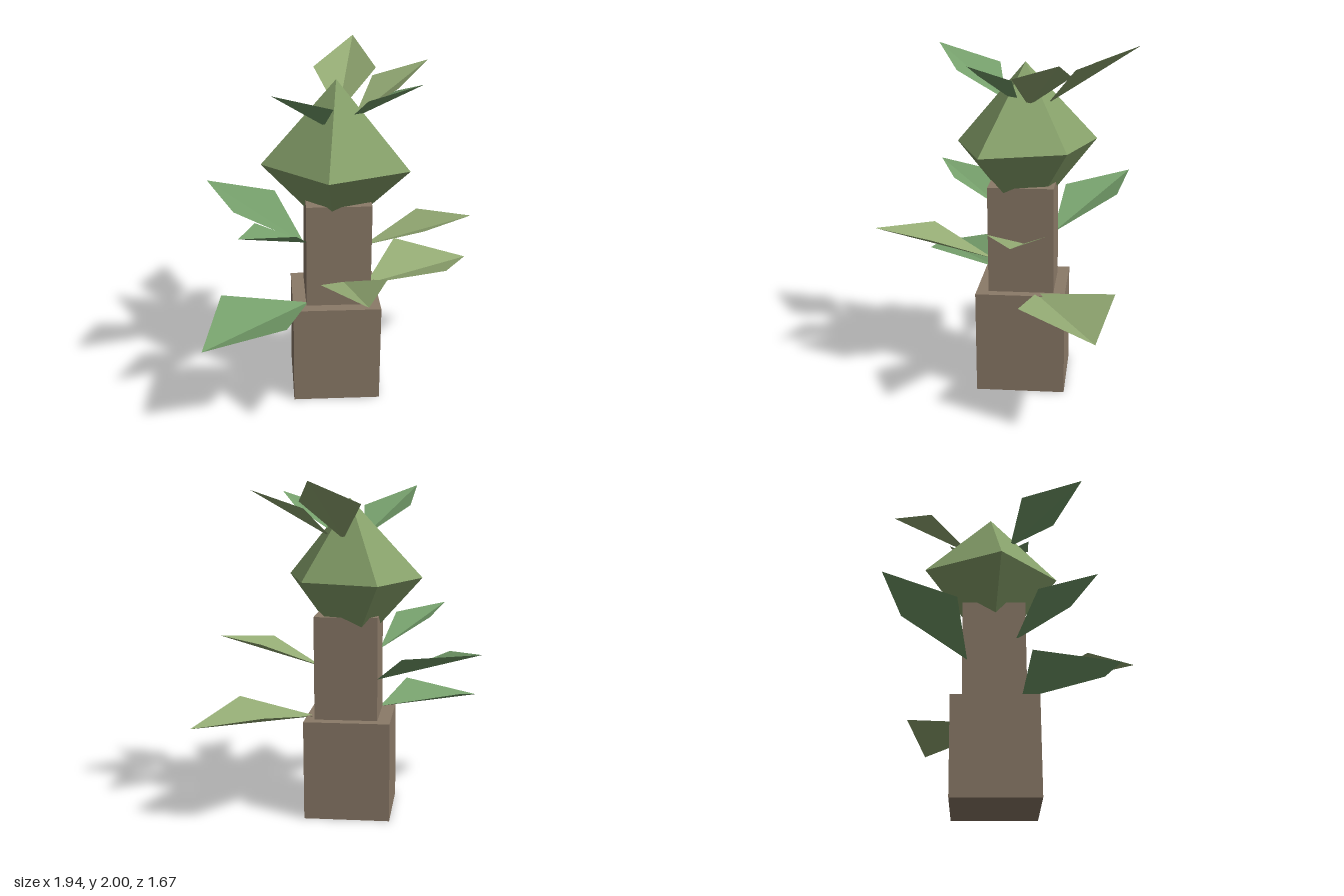
import * as THREE from 'three';

const mat = (color) => new THREE.MeshStandardMaterial({ color, flatShading: true, side: THREE.DoubleSide });
const bark = mat(0x8b7a68);
const bulbGreen = mat(0x86a06a);
const warmGreen = mat(0x94ab74);
const coolGreen = mat(0x76a06c);

// Flat-shaded mesh from a list of triangles, each a trio of [x, y, z] corners
function facets(name, triangles, material) {
  const geometry = new THREE.BufferGeometry();
  geometry.setAttribute('position', new THREE.Float32BufferAttribute(triangles.flat(2), 3));
  geometry.computeVertexNormals();
  const mesh = new THREE.Mesh(geometry, material);
  mesh.name = name;
  return mesh;
}

// Square trunk block standing on one corner towards the front
function trunkBlock(name, radius, y0, y1, x, z) {
  const mesh = new THREE.Mesh(new THREE.CylinderGeometry(radius, radius, y1 - y0, 4), bark);
  mesh.position.set(x, (y0 + y1) / 2, z);
  mesh.rotation.y = 0.02;
  mesh.name = name;
  return mesh;
}

// Kite-shaped leaf folded along its midrib
function leaf(name, material, base, sideA, tip, sideB) {
  return facets(name, [[base, sideA, tip], [base, tip, sideB]], material);
}

export function createModel() {
  const model = new THREE.Group();
  model.name = 'plant';

  model.add(trunkBlock('lowerTrunk', 0.36, 0, 0.595, 0.025, 0.135));
  model.add(trunkBlock('upperTrunk', 0.264, 0.595, 1.21, 0.033, 0.141));

  // Five-sided crown bulb, pointed above and below (lower point sits in the trunk)
  const ring = [[0.39, 0.12], [0.17, 0.56], [-0.29, 0.37], [-0.31, -0.13], [0.17, -0.3]]
    .map(([x, z]) => [x, 1.42, z]);
  const top = [0.035, 1.89, 0.125];
  const bottom = [0.035, 0.95, 0.125];
  const bulb = [];
  ring.forEach((p, i) => {
    const q = ring[(i + 1) % ring.length];
    bulb.push([top, q, p], [bottom, p, q]);
  });
  model.add(facets('crownBulb', bulb, bulbGreen));

  // Leaves: base, one side, tip, other side
  const leaves = [
    // low on the trunk
    ['lowerRightLeaf', coolGreen, [-0.2, 0.6, 0.13], [-0.62, 0.68, 0.37], [-0.97, 0.57, 0.07], [-0.59, 0.68, -0.19]],
    ['lowerLeftLeaf', warmGreen, [0.23, 0.59, 0.21], [0.71, 0.69, 0.04], [0.97, 0.59, 0.42], [0.54, 0.69, 0.58]].map((v) => v),
    // around the upper trunk
    ['trunkFrontRightLeaf', warmGreen, [-0.07, 0.74, 0.29], [-0.14, 0.91, 0.67], [-0.49, 0.93, 0.83], [-0.44, 0.91, 0.45]],
    ['trunkFrontLeftLeaf', warmGreen, [0.16, 0.88, 0.24], [0.52, 1.04, 0.35], [0.61, 1.06, 0.68], [0.28, 1.035, 0.59]],
    ['trunkRightLeaf', coolGreen, [-0.18, 0.97, 0.11], [-0.46, 1.15, 0.29], [-0.77, 1.2, 0.17], [-0.48, 1.15, -0.01]],
    ['trunkBackLeaf', coolGreen, [0.01, 0.84, -0.1], [-0.26, 1.03, -0.43], [-0.11, 1.09, -0.84], [0.15, 1.04, -0.49]],
    // on the crown
    ['crownRightLeaf', coolGreen, [-0.1, 1.66, 0.16], [-0.27, 1.83, 0.38], [-0.61, 1.95, 0.27], [-0.34, 1.84, 0.02]],
    ['crownBackLeftLeaf', warmGreen, [0.14, 1.66, 0.05], [0.22, 1.87, -0.22], [0.58, 2.0, -0.23], [0.42, 1.88, 0.09]],
    ['crownLeftLeaf', warmGreen, [0.13, 1.66, 0.18], [0.39, 1.84, 0.09], [0.58, 1.94, 0.34], [0.25, 1.84, 0.39]],
    ['crownFrontLeaf', coolGreen, [0.06, 1.66, 0.19], [0.24, 1.83, 0.38], [0.175, 1.92, 0.62], [-0.025, 1.83, 0.41]],
  ];
  leaves.forEach((spec) => model.add(leaf(...spec)));

  return model;
}
